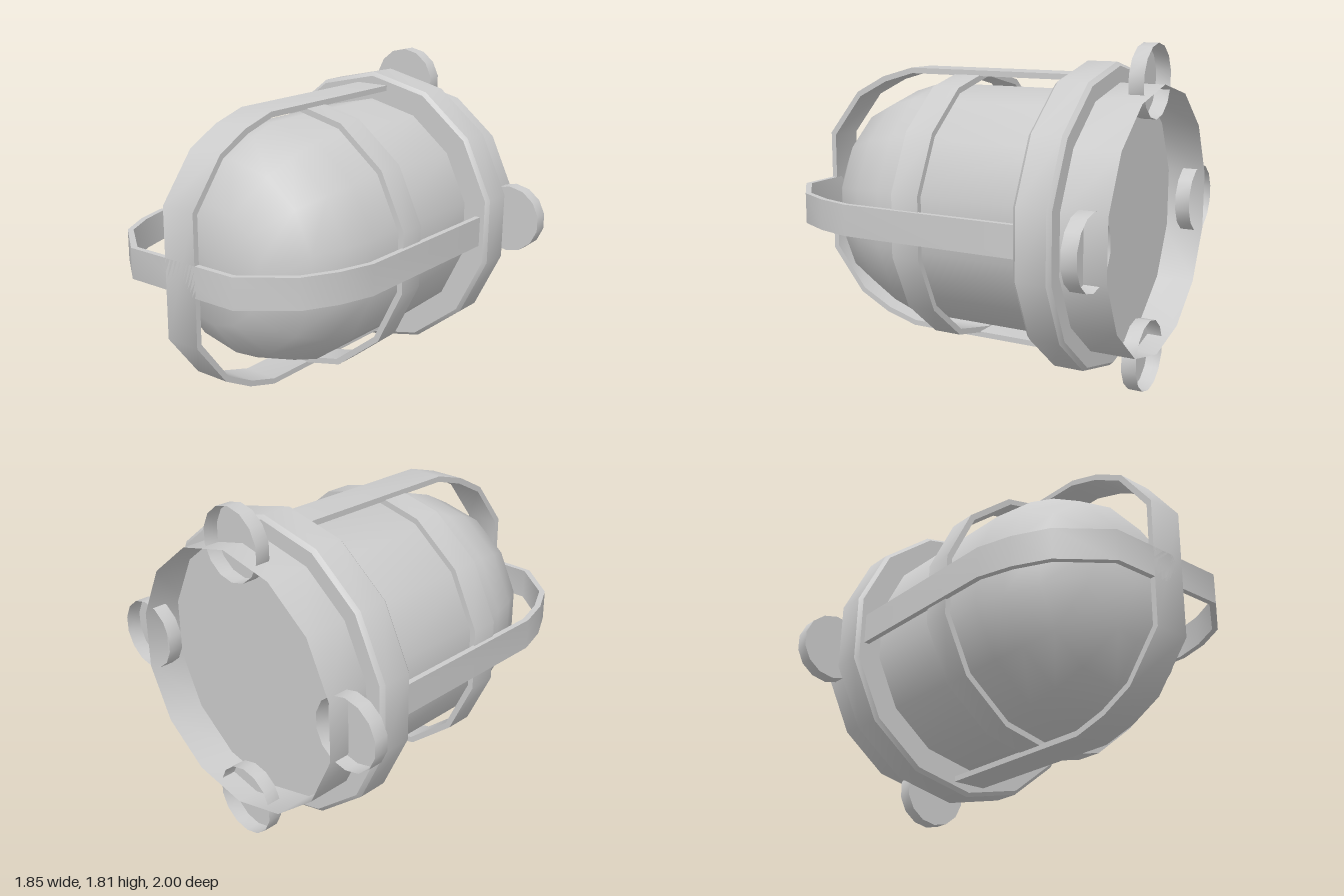
import * as THREE from 'three';
import { toCreasedNormals } from 'three/addons/utils/BufferGeometryUtils.js';

const SIDES = 14;
const CENTRE_Y = 0.9;

export function createModel() {
  const model = new THREE.Group();
  const grey = new THREE.MeshStandardMaterial({ color: 0xcccccc });
  const greyThin = new THREE.MeshStandardMaterial({ color: 0xcccccc, side: THREE.DoubleSide });

  function add(name, geometry, material = grey) {
    const mesh = new THREE.Mesh(toCreasedNormals(geometry, 0.75), material);
    mesh.name = name;
    model.add(mesh);
    return mesh;
  }

  // Revolve [radius, z] points around the z axis
  function turned(points) {
    const profile = points.map(([r, z]) => new THREE.Vector2(r, z));
    return new THREE.LatheGeometry(profile, SIDES).rotateX(Math.PI / 2);
  }

  // Domed glass with a flat nose
  add('glassDome', turned([
    [0.655, -0.6], [0.655, 0.3], [0.605, 0.46], [0.52, 0.62], [0.315, 0.78], [0, 0.78],
  ]));

  // Collar with softened edges
  add('collar', turned([
    [0.65, -0.76], [0.785, -0.76], [0.805, -0.74], [0.805, -0.58], [0.785, -0.56], [0.65, -0.56],
  ]));

  // Hollow base with a recessed floor
  add('baseWall', turned([[0.7, -1], [0.7, -0.75]]), greyThin);
  add('baseFloor', turned([[0, -0.79], [0.7, -0.79]]), greyThin);

  // Mounting lugs: shallow cups open to the back
  for (const [x, y] of [[0.74, 0], [-0.74, 0], [0, 0.714], [0, -0.714]]) {
    const lug = add('mountingLug', turned([[0.19, -0.96], [0.19, -0.88], [0, -0.88]]), greyThin);
    lug.position.set(x, y, 0);
  }

  // Cage hoop around the glass
  add('cageHoop', turned([
    [0.705, 0], [0.737, 0], [0.737, 0.155], [0.705, 0.155], [0.705, 0],
  ]));

  // Cage straps: a bent flat bar looping over the dome
  const outer = [[0.74, -0.57], [0.74, 0.435], [0.685, 0.625], [0.59, 0.805], [0.345, 1]];
  const inner = [[0.71, -0.57], [0.71, 0.43], [0.657, 0.61], [0.565, 0.787], [0.331, 0.97]];
  const mirrored = (points) => points.map(([r, z]) => [-r, z]).reverse();
  const outline = [
    ...outer, ...mirrored(outer), ...inner.map(([r, z]) => [-r, z]), ...[...inner].reverse(),
  ];
  function strap(width) {
    const shape = new THREE.Shape(outline.map(([r, z]) => new THREE.Vector2(r, z)));
    return new THREE.ExtrudeGeometry(shape, { depth: width, bevelEnabled: false })
      .translate(0, 0, -width / 2)
      .rotateX(Math.PI / 2);
  }
  add('horizontalStrap', strap(0.165));
  add('verticalStrap', strap(0.2).rotateZ(Math.PI / 2));

  // Raise everything so the lowest lug rests on the ground
  for (const part of model.children) part.position.y += CENTRE_Y + 0.004;
  return model;
}
